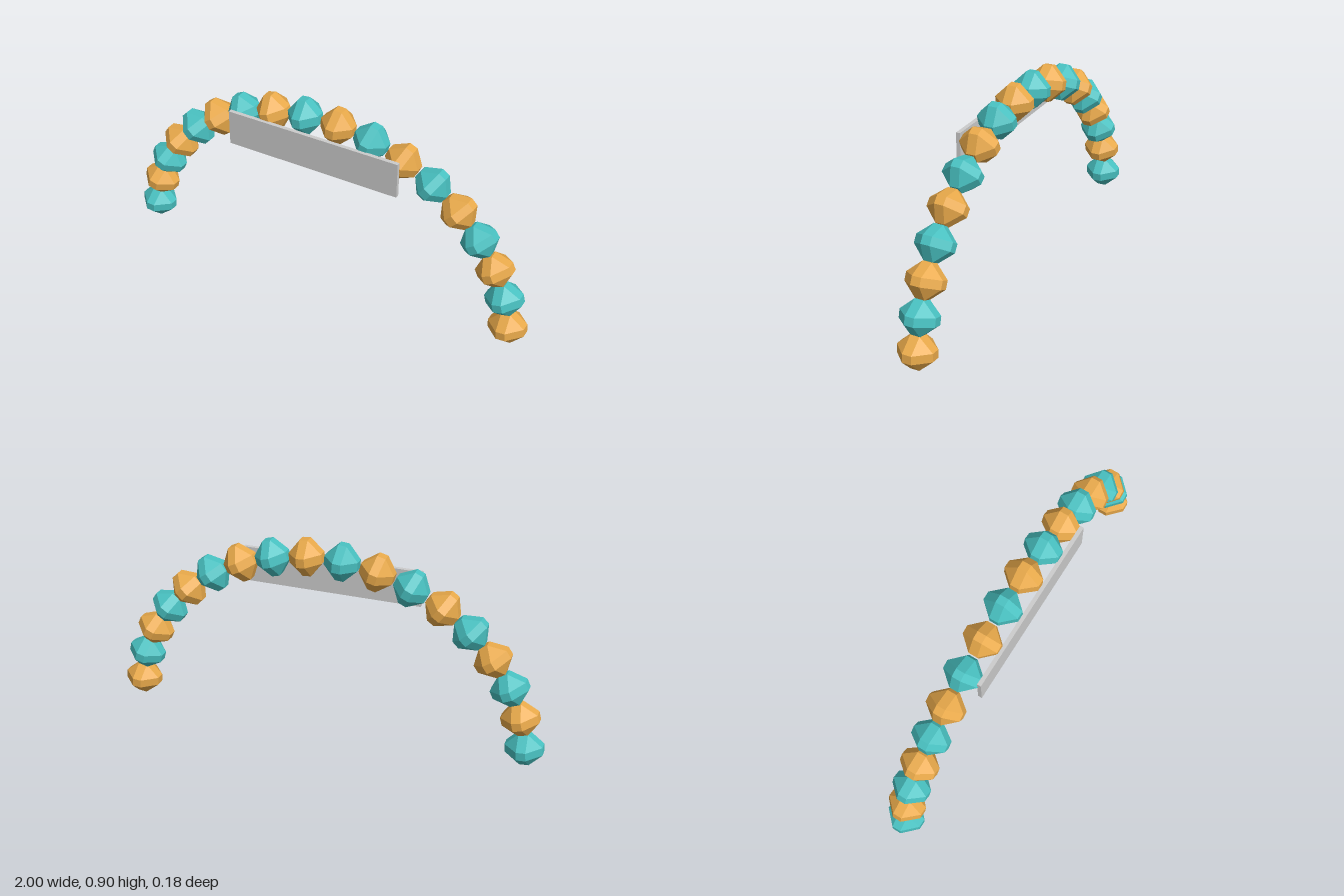
import * as THREE from 'three';
import { ConvexGeometry } from 'three/addons/geometries/ConvexGeometry.js';

// Octahedron with chamfered edges and corners, unit half-extent
function beadGeometry(a = 0.25) {
  const points = [];
  for (const sx of [-1, 1]) for (const sy of [-1, 1]) for (const sz of [-1, 1]) {
    points.push(
      new THREE.Vector3(sx, sy * a, sz * a),
      new THREE.Vector3(sx * a, sy, sz * a),
      new THREE.Vector3(sx * a, sy * a, sz)
    );
  }
  return new ConvexGeometry(points);
}

export function createModel() {
  const model = new THREE.Group();
  model.name = 'balloonArch';

  const orange = new THREE.MeshStandardMaterial({ color: 0xe8a94a, flatShading: true });
  const teal = new THREE.MeshStandardMaterial({ color: 0x48c0c0, flatShading: true });
  const grey = new THREE.MeshStandardMaterial({ color: 0xcccccc, flatShading: true });

  // Balloons spaced evenly by angle along a half ellipse, alternating colours
  const arch = new THREE.Group();
  arch.name = 'arch';
  const geometry = beadGeometry();
  const count = 18;
  for (let i = 0; i < count; i++) {
    const angle = ((i + 0.5) / count) * Math.PI;
    const balloon = new THREE.Mesh(geometry, i % 2 ? teal : orange);
    balloon.name = 'balloon' + (i + 1);
    balloon.position.set(0.921 * Math.cos(angle), 0.007 + 0.817 * Math.sin(angle), -0.007);
    balloon.rotation.z = angle;
    balloon.scale.set(0.082, 0.075, 0.082);
    arch.add(balloon);
  }
  model.add(arch);

  // Flat sign panel hung across the front of the arch
  const banner = new THREE.Mesh(new THREE.BoxGeometry(0.82, 0.162, 0.018), grey);
  banner.name = 'banner';
  banner.position.set(0, 0.709, 0.081);
  model.add(banner);

  return model;
}
